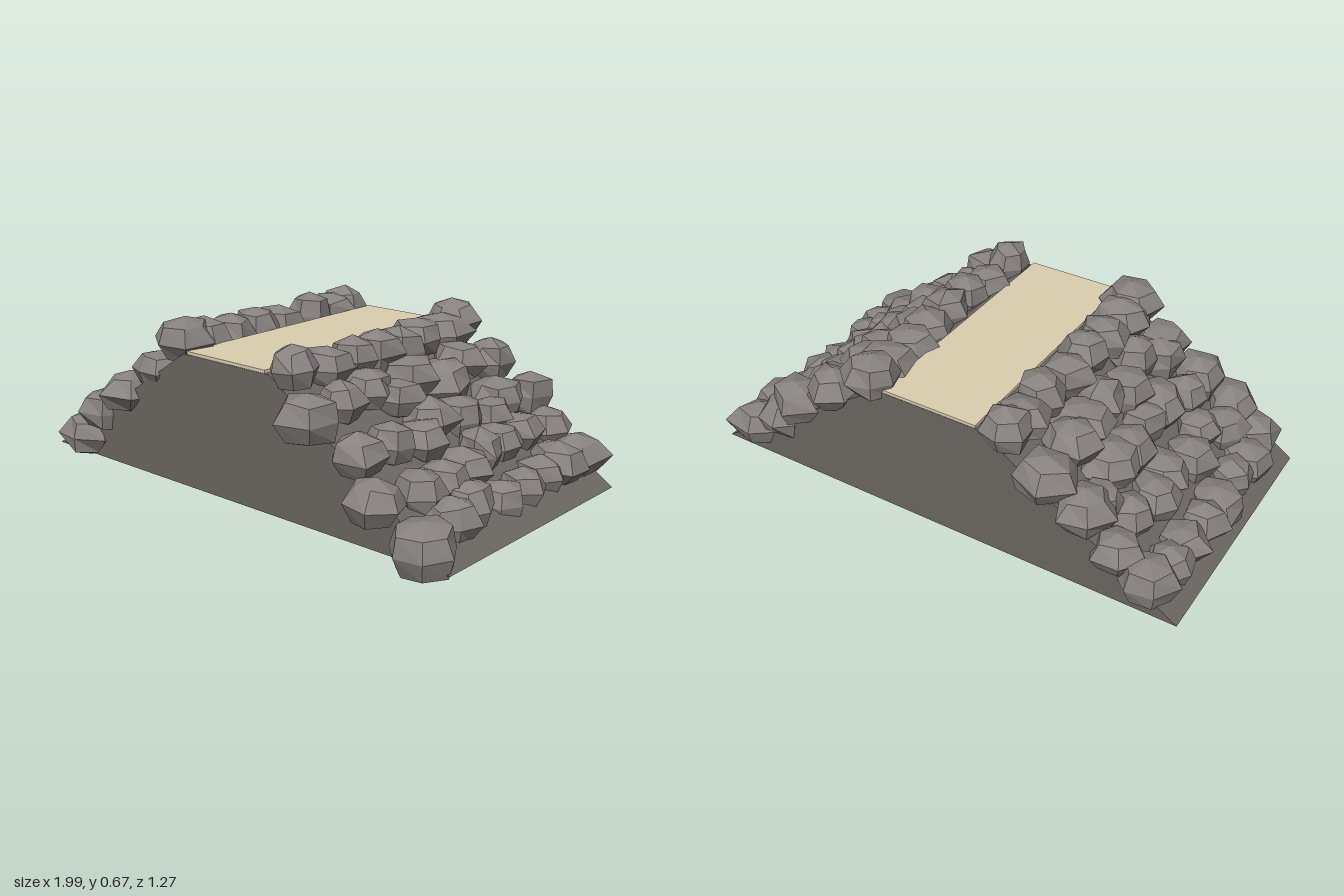
import * as THREE from 'three';
import { mergeVertices } from 'three/addons/utils/BufferGeometryUtils.js';

// Repeatable pseudo-random numbers in [-1, 1]
function makeNoise(seed) {
  let s = seed;
  return () => {
    s = (s * 16807) % 2147483647;
    return (s / 2147483647) * 2 - 1;
  };
}

// Faceted boulder: coarse sphere, squashed, with each vertex pushed in or out
function rockGeometry(noise, radius, height) {
  const sides = 6 + Math.round(noise() * 0.9);
  const sphere = new THREE.SphereGeometry(1, sides, 4);
  sphere.deleteAttribute('uv');
  sphere.deleteAttribute('normal');
  const geo = mergeVertices(sphere, 1e-3);
  const p = geo.attributes.position;
  for (let i = 0; i < p.count; i++) {
    const k = 1.05 + noise() * 0.17;
    p.setXYZ(i, p.getX(i) * k, p.getY(i) * (1 + noise() * 0.1), p.getZ(i) * k);
  }
  geo.scale(radius, height, radius);
  geo.computeVertexNormals();
  return geo;
}

export function createModel() {
  const model = new THREE.Group();
  model.name = 'breakwater';
  const coreMat = new THREE.MeshStandardMaterial({ color: 0x6b6762, side: THREE.DoubleSide, flatShading: true });
  const rockMat = new THREE.MeshStandardMaterial({ color: 0x878280, flatShading: true });
  const pathMat = new THREE.MeshStandardMaterial({ color: 0xdccfb0 });

  const zBack = -0.56, zFront = 0.482, xMid = -0.012;
  const length = zFront - zBack, zMid = (zFront + zBack) / 2;

  // Embankment: box tapered towards the top, hollow and open underneath
  const coreGeo = new THREE.BoxGeometry(1.975, 0.512, length);
  const pos = coreGeo.attributes.position;
  for (let i = 0; i < pos.count; i++) {
    if (pos.getY(i) > 0) pos.setX(i, Math.sign(pos.getX(i)) * 0.215);
  }
  const index = Array.from(coreGeo.index.array);
  index.splice(18, 6); // drop the bottom face
  coreGeo.setIndex(index);
  coreGeo.clearGroups();
  coreGeo.computeVertexNormals();
  const core = new THREE.Mesh(coreGeo, coreMat);
  core.name = 'core';
  core.position.set(xMid, 0.303, zMid);
  model.add(core);

  // Walkway along the crest
  const path = new THREE.Mesh(new THREE.BoxGeometry(0.39, 0.012, length), pathMat);
  path.name = 'path';
  path.position.set(xMid, 0.566, zMid);
  model.add(path);

  // Boulder rows from foot to crest: [x, y]
  const slopes = {
    right: [[-0.87, 0.135], [-0.73, 0.235], [-0.59, 0.34], [-0.44, 0.455], [-0.3, 0.565]],
    left: [[0.84, 0.135], [0.7, 0.235], [0.57, 0.34], [0.42, 0.455], [0.275, 0.565]],
  };
  // Larger boulders at the ends, replacing a row's regular one: x, y, z, radius, height
  const special = {
    'right 0 7': [-0.83, 0.115, 0.45, 0.125, 0.09],
    'right 4 7': [-0.3, 0.585, 0.4, 0.115, 0.085],
    'left 0 7': [0.86, 0.105, 0.47, 0.125, 0.1],
    'left 1 7': [0.68, 0.22, 0.5, 0.1, 0.085],
    'left 3 7': [0.41, 0.45, 0.515, 0.115, 0.095],
    'left 4 0': [0.25, 0.59, -0.52, 0.11, 0.082],
    'left 2 0': [0.61, 0.35, -0.535, 0.105, 0.085],
    'left 0 0': [0.83, 0.15, -0.53, 0.115, 0.085],
  };

  const noise = makeNoise(4711);
  for (const [side, rows] of Object.entries(slopes)) {
    const rocks = new THREE.Group();
    rocks.name = side + 'Rocks';
    rows.forEach(([x, y], r) => {
      for (let c = 0; c < 8; c++) {
        // Shift along the slope, less at the crest and foot
        const shift = noise() * (r === 0 || r === 4 ? 0.015 : 0.035);
        const z = -0.515 + c * 0.135 + (c > 0 && c < 7 ? (r % 2) * 0.05 - 0.02 : 0);
        const [rx, ry, rz, radius, height] = special[`${side} ${r} ${c}`] || [
          x + Math.sign(x) * shift, y - shift * 0.66 + noise() * 0.015, z + noise() * 0.025,
          0.102 + noise() * 0.016, 0.084 + noise() * 0.01];
        const rock = new THREE.Mesh(rockGeometry(noise, radius, height), rockMat);
        rock.name = 'rock';
        rock.position.set(rx, ry, rz);
        rock.rotation.set(noise() * 0.08, noise() * Math.PI, noise() * 0.08);
        rocks.add(rock);
      }
    });
    model.add(rocks);
  }
  return model;
}
